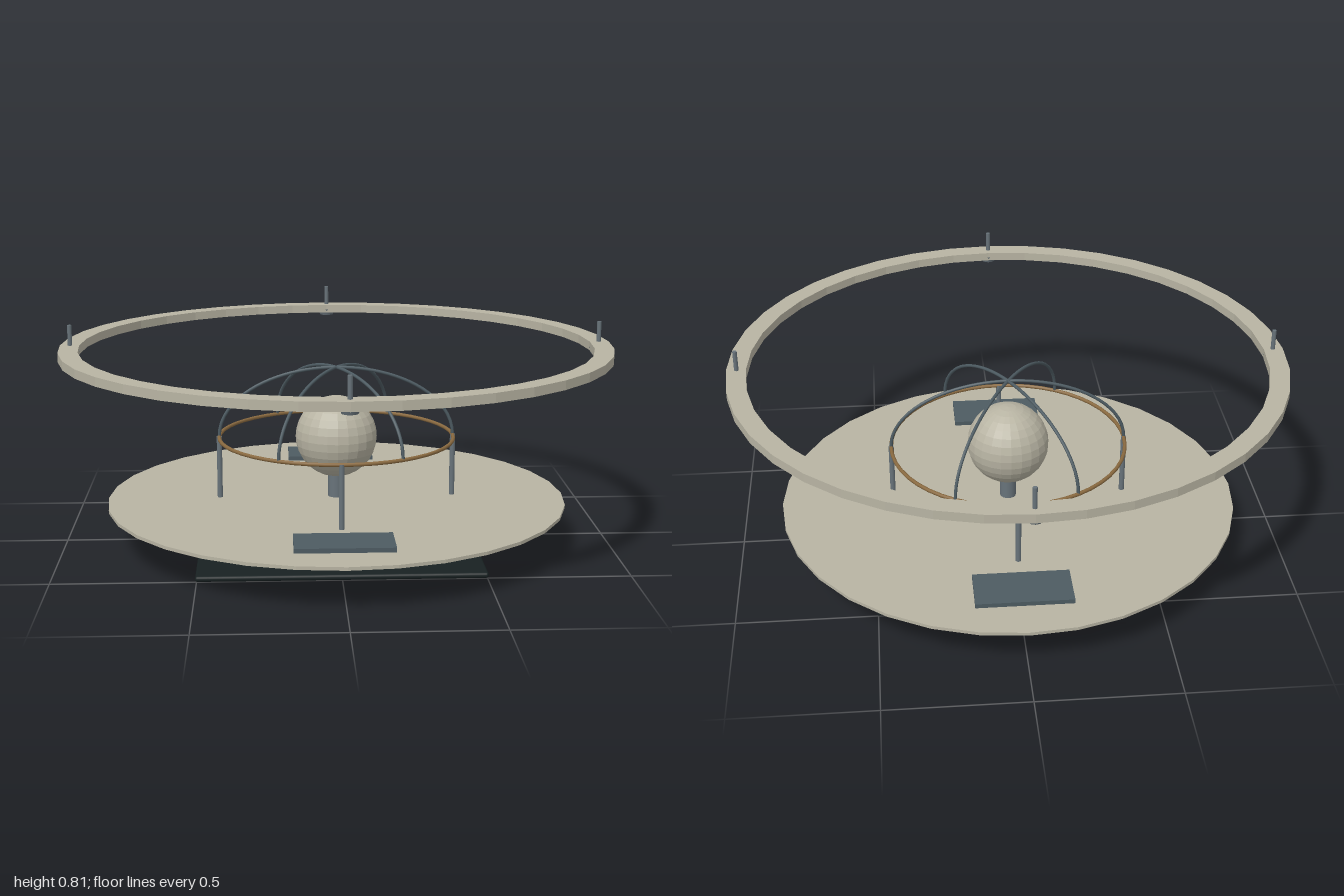
import * as THREE from 'three';
import { RoundedBoxGeometry } from 'three/addons/geometries/RoundedBoxGeometry.js';

const mat = (name, color) => {
  const m = new THREE.MeshStandardMaterial({ color });
  m.name = name;
  return m;
};

// split faces so that every facet gets its own normal
const faceted = (geometry) => {
  const g = geometry.toNonIndexed();
  g.computeVertexNormals();
  return g;
};

export function createModel() {
  const stone = mat('warm stone', 0xb8b4a3);
  const slate = mat('slate blue', 0x4d5b62);
  const steel = mat('steel grey', 0x68737a);
  const black = mat('dark base', 0x182122);
  const bronze = mat('bronze', 0x8a6a40);

  const model = new THREE.Group();
  model.name = 'orbModel';
  const add = (name, geometry, material, x = 0, y = 0, z = 0) => {
    const mesh = new THREE.Mesh(geometry, material);
    mesh.name = name;
    mesh.position.set(x, y, z);
    model.add(mesh);
    return mesh;
  };

  // square foot, housing and round deck
  add('basePlate', new RoundedBoxGeometry(1.01, 0.02, 1.01, 2, 0.009), black, 0, 0.01, 0);
  add('housing', new RoundedBoxGeometry(0.555, 0.132, 0.555, 2, 0.012), slate, 0, 0.084, 0);
  add('deck', faceted(new THREE.CylinderGeometry(0.843, 0.843, 0.012, 32)), stone, 0, 0.155, 0);

  // control panels on the deck, front and back
  for (const s of [1, -1]) {
    add('deckPanel', new THREE.BoxGeometry(0.34, 0.016, 0.172), slate, 0, 0.169, s * 0.61);
  }

  // central orb on its pedestal
  add('pedestal', new THREE.CylinderGeometry(0.03, 0.03, 0.1, 16), steel, 0, 0.211, 0);
  add('orb', faceted(new THREE.SphereGeometry(0.15, 24, 16)), stone, 0, 0.39, 0);

  // cage: bronze ring and three crossing arches
  const ring = add('cageRing', new THREE.TorusGeometry(0.431, 0.007, 8, 48), bronze, 0, 0.39, 0);
  ring.rotation.x = Math.PI / 2;
  const archPoints = [];
  for (let i = 0; i <= 24; i++) {
    const a = (i / 24) * Math.PI;
    archPoints.push(new THREE.Vector3(0.431 * Math.cos(a), 0.257 * Math.sin(a), 0));
  }
  const arch = new THREE.TubeGeometry(new THREE.CatmullRomCurve3(archPoints), 40, 0.006, 8);
  for (let i = 0; i < 3; i++) {
    add('cageArch', arch, slate, 0, 0.39, 0).rotation.y = (i * Math.PI) / 3;
  }

  // large upper ring with a square section
  const section = [[0.93, 0.703], [1, 0.703], [1, 0.735], [0.93, 0.735], [0.93, 0.703]]
    .map(([x, y]) => new THREE.Vector2(x, y));
  add('upperRing', faceted(new THREE.LatheGeometry(section, 40)), stone);

  // four cage posts, and four pins with mounts on the upper ring
  const post = new THREE.CylinderGeometry(0.01, 0.01, 0.232, 10);
  const pin = new THREE.CylinderGeometry(0.008, 0.008, 0.105, 8);
  const mount = new THREE.CylinderGeometry(0.035, 0.027, 0.024, 12);
  for (let i = 0; i < 4; i++) {
    const a = (i * Math.PI) / 2;
    const c = Math.cos(a), s = Math.sin(a);
    add('cagePost', post, steel, 0.431 * c, 0.276, 0.431 * s);
    add('ringPin', pin, steel, 0.963 * c, 0.757, 0.963 * s);
    add('ringMount', mount, steel, 0.963 * c, 0.703, 0.963 * s);
  }
  return model;
}
